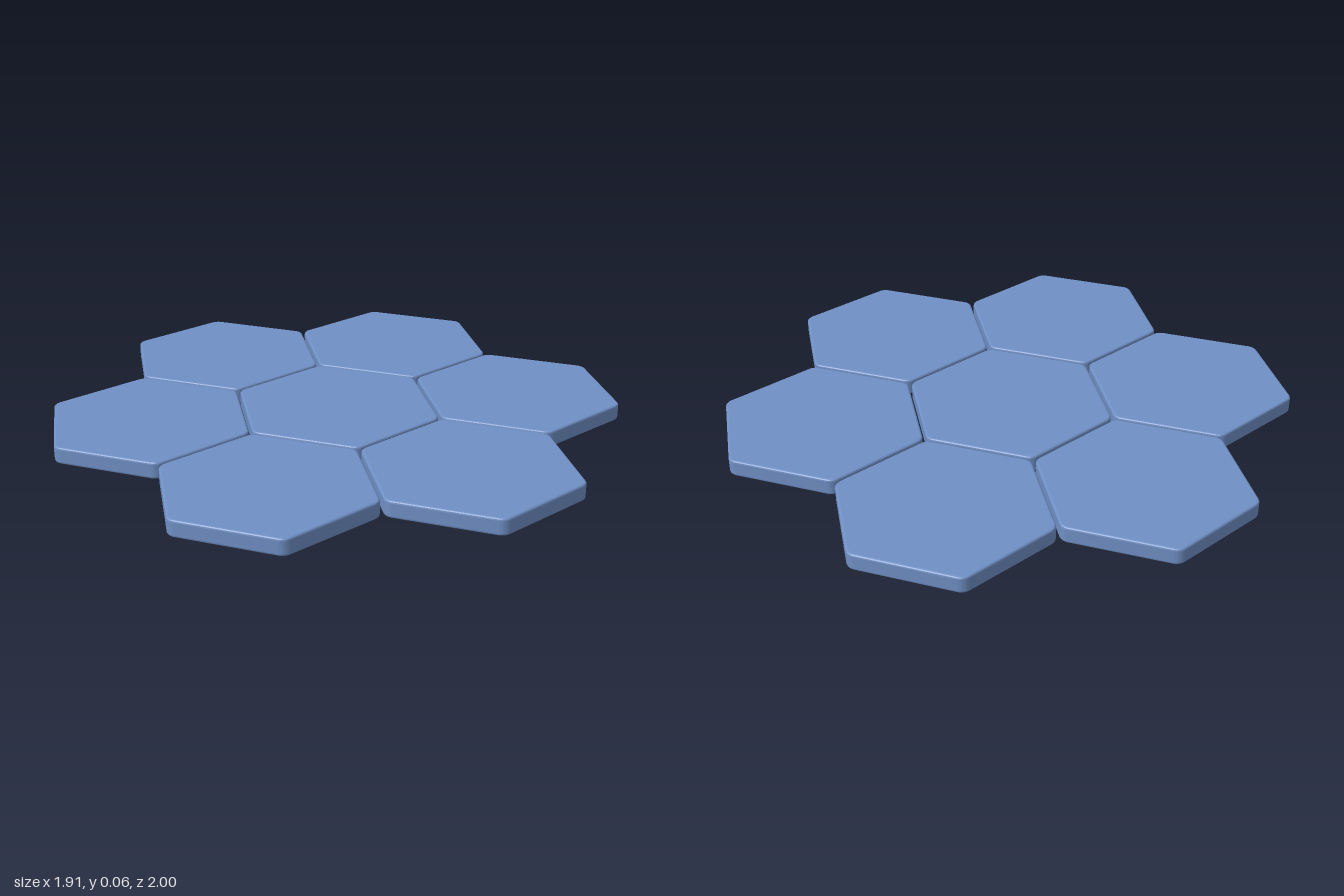
import * as THREE from 'three';
import { toCreasedNormals } from 'three/addons/utils/BufferGeometryUtils.js';

const APOTHEM = 0.3295; // centre of a tile to the middle of a side
const SPACING = 0.6705; // centre to centre, leaving a thin joint
const HEIGHT = 0.06;
const CORNER = 0.04;
const BEVEL = 0.008;

// Hexagonal slab with rounded corners and softened rims, standing on y = 0
function tileGeometry() {
  const shape = new THREE.Shape();
  const radius = CORNER - BEVEL;
  const reach = (APOTHEM - CORNER) / Math.cos(Math.PI / 6);
  for (let k = 0; k < 6; k++) {
    const a = (k * Math.PI) / 3;
    shape.absarc(reach * Math.cos(a), reach * Math.sin(a), radius, a - Math.PI / 6, a + Math.PI / 6, false);
  }
  const geometry = new THREE.ExtrudeGeometry(shape, {
    depth: HEIGHT - 2 * BEVEL,
    bevelThickness: BEVEL,
    bevelSize: BEVEL,
    bevelSegments: 3,
    curveSegments: 4,
  });
  geometry.translate(0, 0, BEVEL);
  geometry.rotateX(-Math.PI / 2);
  return toCreasedNormals(geometry, 0.2);
}

export function createModel() {
  const group = new THREE.Group();
  group.name = 'hexTileCluster';

  const blue = new THREE.MeshStandardMaterial({ color: 0x6f8fc4 });
  blue.name = 'blue';
  const geometry = tileGeometry();

  const addTile = (name, x, z) => {
    const tile = new THREE.Mesh(geometry, blue);
    tile.name = name;
    tile.position.set(x, 0, z);
    group.add(tile);
  };

  // One tile in the middle, six around it
  addTile('centreTile', 0, 0);
  for (let k = 0; k < 6; k++) {
    const a = Math.PI / 6 + (k * Math.PI) / 3;
    addTile(`outerTile${k + 1}`, SPACING * Math.cos(a), SPACING * Math.sin(a));
  }
  return group;
}
